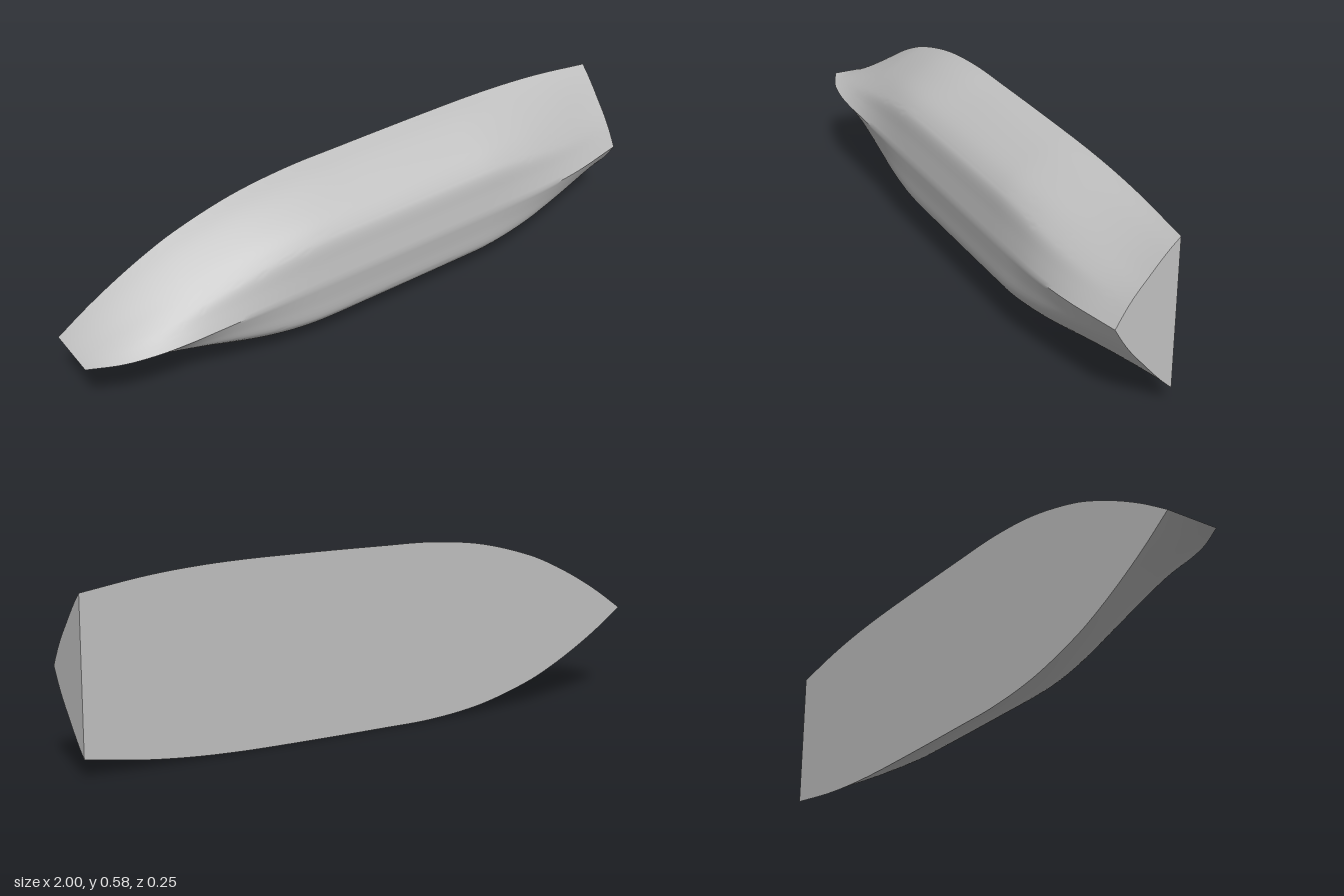
import * as THREE from 'three';
import { toCreasedNormals } from 'three/addons/utils/BufferGeometryUtils.js';

const MID_Y = 0.2885, DECK_Z = -0.123;

// Skin a list of equally long rows of points.
function loft(rows, crease) {
  const n = rows[0].length, index = [];
  for (let i = 0; i < rows.length - 1; i++) {
    for (let j = 0; j < n - 1; j++) {
      const a = i * n + j, b = a + 1, c = a + n, d = c + 1;
      index.push(a, b, c, b, d, c);
    }
  }
  const geo = new THREE.BufferGeometry();
  geo.setAttribute('position', new THREE.Float32BufferAttribute(rows.flat(2), 3));
  geo.setIndex(index);
  return toCreasedNormals(geo, crease);
}

const spline = (pts) => new THREE.CatmullRomCurve3(pts.map((p) => new THREE.Vector3(...p)), false, 'centripetal');

export function createModel() {
  const group = new THREE.Group();
  const grey = new THREE.MeshStandardMaterial({ color: 0xc0c0c0 });
  grey.name = 'hullGrey';

  // Stations from bow to stern: x, half beam, keel z
  const stations = spline([
    [-1, 0, 0.05], [-0.9, 0.066, 0.093], [-0.8, 0.123, 0.114], [-0.7, 0.172, 0.122],
    [-0.6, 0.212, 0.123], [-0.4, 0.264, 0.123], [-0.2, 0.286, 0.123], [0, 0.2885, 0.123],
    [0.3, 0.2885, 0.123], [0.5, 0.286, 0.123], [0.65, 0.279, 0.1215], [0.8, 0.265, 0.107], [1, 0.235, 0.067],
  ]);

  // Half sections from gunwale to keel: share of beam, share of depth
  const full = spline([
    [1, 0, 0], [0.93, 0.25, 0], [0.82, 0.5, 0], [0.68, 0.744, 0],
    [0.57, 0.865, 0], [0.48, 0.927, 0], [0.24, 0.963, 0], [0, 1, 0],
  ]);
  const vee = spline([
    [1, 0, 0], [0.87, 0.17, 0], [0.73, 0.33, 0], [0.57, 0.5, 0],
    [0.42, 0.66, 0], [0.28, 0.79, 0], [0.14, 0.9, 0], [0, 1, 0],
  ]);

  // Sections blend from a V at the ends to a full, flat-bottomed form amidships
  const STEPS = 28, LENGTH = 96;
  const halves = [];
  for (let i = 0; i <= LENGTH; i++) {
    const s = stations.getPoint(i / LENGTH);
    const w = THREE.MathUtils.smoothstep(s.x, -0.9, -0.2) * (1 - THREE.MathUtils.smoothstep(s.x, 0.4, 1));
    const half = [];
    for (let j = 0; j <= STEPS; j++) {
      const p = vee.getPoint(j / STEPS).lerp(full.getPoint(j / STEPS), w);
      half.push([s.x, p.x * s.y, DECK_Z + p.y * (s.z - DECK_Z)]);
    }
    halves.push(half);
  }
  const at = ([x, y, z], side) => [x, MID_Y + side * y, z];

  const add = (name, rows, crease) => {
    const mesh = new THREE.Mesh(loft(rows, crease), grey);
    mesh.name = name;
    group.add(mesh);
  };

  // Curved shell, both sides
  add('hullShell', halves.map((h) => [
    ...h.map((p) => at(p, 1)),
    ...h.slice(0, -1).reverse().map((p) => at(p, -1)),
  ]), 0.65);
  // Flat deck
  add('deck', halves.map((h) => [at(h[0], -1), at(h[0], 1)]), 0.1);
  // Flat stern plate
  add('transom', halves[LENGTH].map((p) => [at(p, -1), at(p, 1)]), 0.1);

  return group;
}
